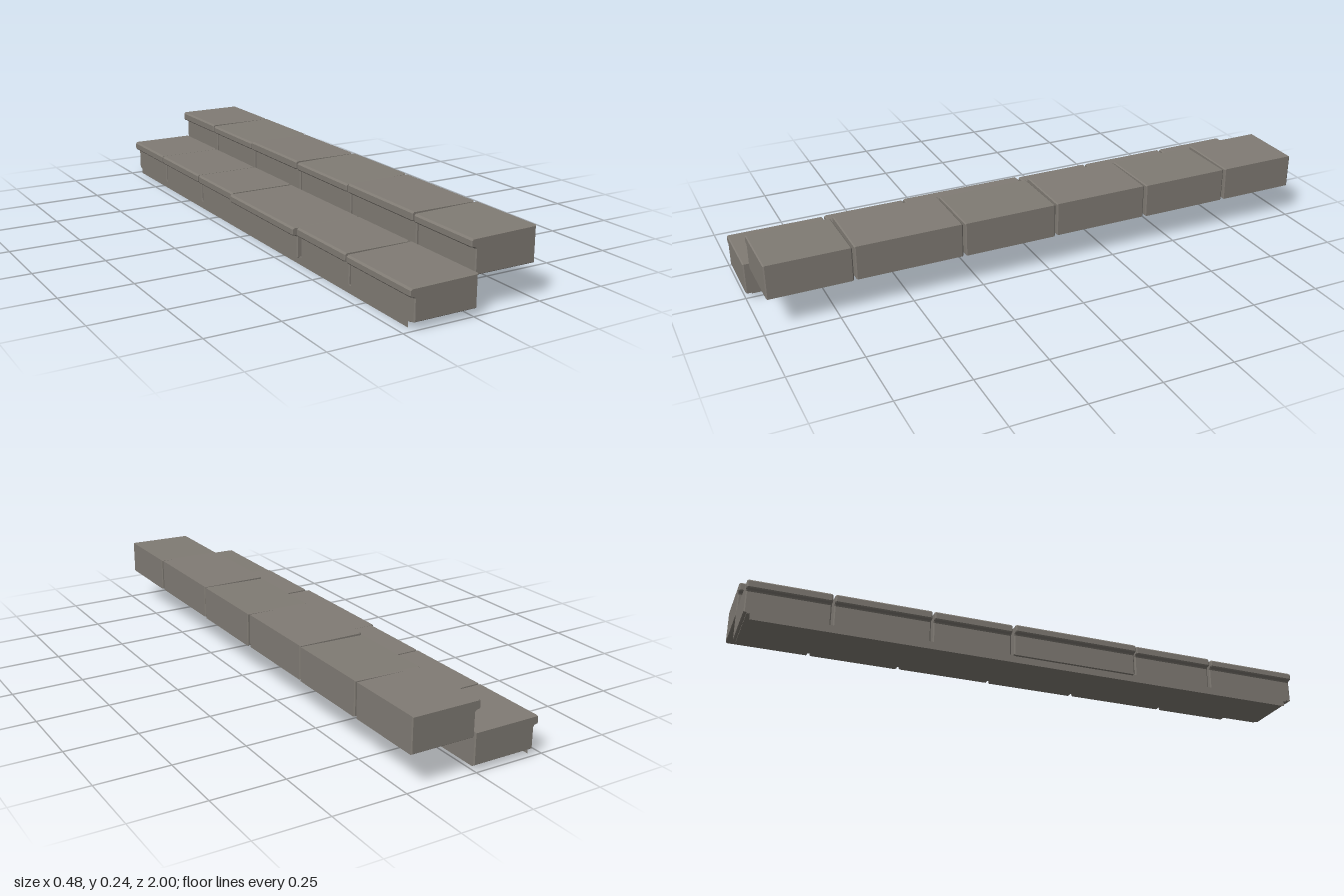
import * as THREE from 'three';

const GAP = 0.004;   // half of the joint between neighbouring stones
const BEVEL = 0.004;

// One stone: a nosed tread cross-section extruded along z with worn edges.
function stone({ nose, riser, back, bottom, top, lip, drop = 0 }, z0, z1) {
  const s = new THREE.Shape();
  s.moveTo(back, bottom);
  s.lineTo(back, top);
  s.lineTo(nose + 0.006, top - drop);
  s.lineTo(nose, top - drop - 0.006);
  s.lineTo(nose, lip + 0.004);
  s.lineTo(nose + 0.003, lip);
  s.lineTo(riser - 0.003, lip - 0.002);
  s.lineTo(riser, lip - 0.006);
  s.lineTo(riser, bottom);
  s.closePath();
  const geo = new THREE.ExtrudeGeometry(s, {
    depth: z1 - z0 - 2 * BEVEL,
    bevelEnabled: true,
    bevelThickness: BEVEL,
    bevelSize: 0.003,
    bevelOffset: -0.003,
    bevelSegments: 1,
  });
  geo.translate(0, 0, z0 + BEVEL);
  return geo;
}

export function createModel() {
  const model = new THREE.Group();
  model.name = 'stoneSteps';
  const stoneGrey = new THREE.MeshStandardMaterial({ color: 0x807b74, side: THREE.DoubleSide });
  stoneGrey.name = 'stoneGrey';

  // A row of stones between successive joints, each with small offsets.
  function addRow(name, profile, joints, tweaks) {
    const row = new THREE.Group();
    row.name = name;
    for (let i = 0; i < joints.length - 1; i++) {
      const last = joints.length - 2;
      const z0 = joints[i] + (i === 0 ? 0 : GAP);
      const z1 = joints[i + 1] - (i === last ? 0 : GAP);
      const mesh = new THREE.Mesh(stone({ ...profile, ...tweaks[i] }, z0, z1), stoneGrey);
      mesh.name = 'stepStone';
      row.add(mesh);
    }
    model.add(row);
  }

  // Upper step
  addRow('upperStep',
    { nose: -0.003, riser: 0.015, back: 0.239, bottom: 0.118, top: 0.237, lip: 0.205 },
    [-1, -0.71, -0.38, -0.03, 0.31, 0.69, 0.98],
    [{}, { drop: 0.004 }, { back: 0.236 }, { drop: 0.004 }, { back: 0.237 }, { drop: 0.004 }]);

  // Lower step, with one stone standing proud of the others
  addRow('lowerStep',
    { nose: -0.229, riser: -0.212, back: 0.011, bottom: 0.024, top: 0.133, lip: 0.103 },
    [-1, -0.72, -0.385, -0.1, 0.36, 0.66, 1],
    [{}, { back: 0.009 }, {}, { nose: -0.24, riser: -0.222, top: 0.131 }, { back: 0.009 }, { drop: 0.003 }]);

  // Thin bed under the lower step
  const bed = new THREE.Mesh(new THREE.BoxGeometry(0.222, 0.007, 1.97), stoneGrey);
  bed.position.set(-0.101, 0.0235, -0.005);
  bed.name = 'bed';
  model.add(bed);

  // Narrow skirt along the foot of the lower riser
  const skirt = new THREE.Mesh(new THREE.PlaneGeometry(1.95, 0.022), stoneGrey);
  skirt.rotation.y = -Math.PI / 2;
  skirt.position.set(-0.212, 0.011, -0.005);
  skirt.name = 'footSkirt';
  model.add(skirt);

  return model;
}
